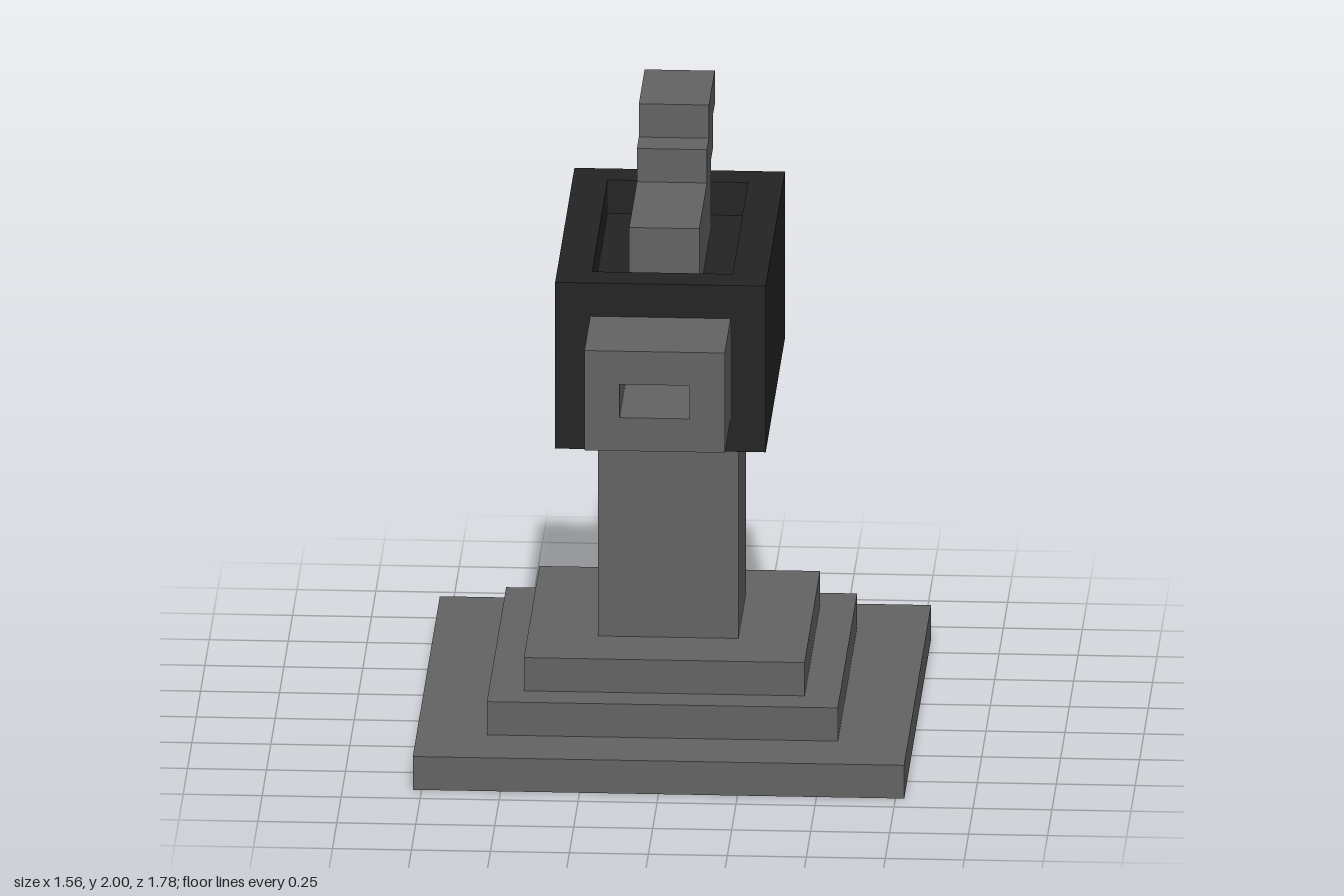
import * as THREE from 'three';

const U = 1 / 9; // one block of the grid

export function createModel() {
  const model = new THREE.Group();
  model.name = 'mountedViewer';

  const grey = new THREE.MeshStandardMaterial({ color: 0x636363 });
  grey.name = 'stone grey';
  const black = new THREE.MeshStandardMaterial({ color: 0x232323 });
  black.name = 'housing black';

  const add = (name, geometry, material) => {
    const mesh = new THREE.Mesh(geometry, material);
    mesh.name = name;
    model.add(mesh);
    return mesh;
  };

  // Box centred on x, given by half width and its y and z ranges in blocks
  const block = (name, material, halfW, y0, y1, z0, z1) => {
    const mesh = add(name, new THREE.BoxGeometry(2 * halfW * U, (y1 - y0) * U, (z1 - z0) * U), material);
    mesh.position.set(0, (y0 + y1) * U / 2, (z0 + z1) * U / 2);
  };

  // Rectangular tube: outer and inner half sizes, extruded along z
  const frame = (w, h, innerW, innerH, depth) => {
    const corners = (a, b) => [[-a, -b], [a, -b], [a, b], [-a, b]].map(([x, y]) => new THREE.Vector2(x * U, y * U));
    const shape = new THREE.Shape(corners(w, h));
    shape.holes.push(new THREE.Path(corners(innerW, innerH).reverse()));
    return new THREE.ExtrudeGeometry(shape, { depth: depth * U, bevelEnabled: false });
  };

  // Stepped base and column
  block('baseSlab', grey, 7, 0, 1, -8, 6);
  block('baseMiddleStep', grey, 5, 1, 2, -6, 4);
  block('baseTopStep', grey, 4, 2, 3, -5, 3);
  block('column', grey, 2, 3, 10, -3, 1);

  // Housing walls around a shallow recess in the top
  const walls = add('housingWalls', frame(3, 5, 2, 4, 5).rotateX(-Math.PI / 2), black);
  walls.position.y = 10 * U;
  block('housingCore', black, 2, 10, 14, -4, 4);

  // Hollow barrel at the front
  const barrel = add('barrel', frame(2, 1.5, 1, 0.5, 3), grey);
  barrel.position.set(0, 12.5 * U, 5 * U);

  // Stepped lever rising backwards out of the recess
  block('leverBase', grey, 1, 14, 16, -3, 3);
  block('leverMiddle', grey, 1, 16, 17, -4, -1);
  block('leverTip', grey, 1, 17, 18, -5, -2);

  return model;
}
